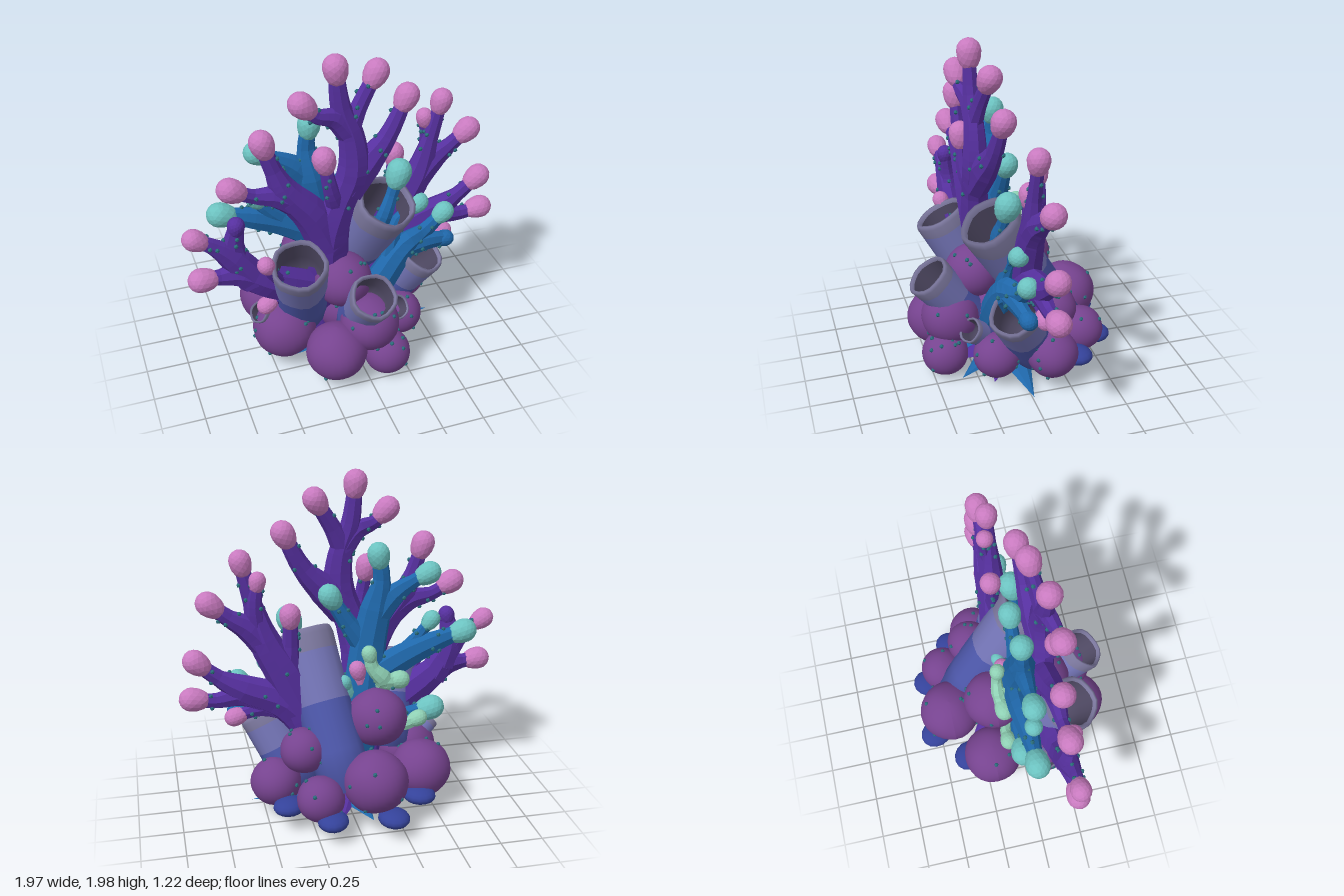
import * as THREE from 'three';

const mat = (color, flatShading = false, side = THREE.FrontSide) =>
  new THREE.MeshStandardMaterial({ color, flatShading, side });
const M = {
  purple: mat(0x56309f, true), blue: mat(0x1f68ab, true),
  pink: mat(0xc87abf, true), teal: mat(0x6cc2c0, true), mint: mat(0x8fd0b4, true),
  ball: mat(0x76438f), dot: mat(0x2a6c7a, true), stub: mat(0x34429a),
  rim: mat(0x7a769c, false, THREE.DoubleSide), mid: mat(0x7273b4, false, THREE.DoubleSide),
  low: mat(0x4c56a8, false, THREE.DoubleSide), inside: mat(0x4e4862, false, THREE.DoubleSide),
};
const V = (x, y, z) => new THREE.Vector3(x, y, z);
const UP = V(0, 1, 0);

let seed = 7;
const rnd = () => (seed = (seed * 16807) % 2147483647) / 2147483647;

function add(parent, name, geo, material) {
  const m = new THREE.Mesh(geo, material);
  m.name = name;
  parent.add(m);
  return m;
}

// Small beads that speckle the branches and the balls
const beadGeo = new THREE.IcosahedronGeometry(0.014, 0);
const bead = (parent, p) => add(parent, 'bead', beadGeo, M.dot).position.copy(p);

// Teardrop tip: a ball whose lower half is drawn out along the branch
const tipGeo = new THREE.IcosahedronGeometry(1, 2);
const tipPos = tipGeo.attributes.position;
for (let i = 0; i < tipPos.count; i++) {
  const y = tipPos.getY(i);
  tipPos.setY(i, y < 0 ? y * 1.6 : y * 1.05);
}

// Tapered branch through [x, y, z, radius] points, with a swollen tip
function branch(parent, name, pts, material, tipMat, tipR = 0.07, beads = 6) {
  const curve = new THREE.CatmullRomCurve3(pts.map(p => V(p[0], p[1], p[2])));
  const rings = (pts.length - 1) * 4, sides = 8, pos = [], idx = [];
  const frame = t => {
    const f = t * (pts.length - 1), i = Math.min(Math.floor(f), pts.length - 2);
    const dir = curve.getTangent(t), u = dir.clone().cross(V(0, 0, 1)).normalize();
    return { p: curve.getPoint(t), dir, u, v: u.clone().cross(dir),
      r: THREE.MathUtils.lerp(pts[i][3], pts[i + 1][3], f - i) };
  };
  const around = (f, a) => f.p.clone().addScaledVector(f.u, Math.cos(a) * f.r)
    .addScaledVector(f.v, Math.sin(a) * f.r * 0.8);
  for (let i = 0; i <= rings; i++) {
    const f = frame(i / rings);
    for (let j = 0; j < sides; j++) {
      pos.push(...around(f, (j / sides) * Math.PI * 2).toArray());
      if (i === rings) continue;
      const a = i * sides + j, b = i * sides + (j + 1) % sides;
      idx.push(a, a + sides, b, b, a + sides, b + sides);
    }
  }
  const g = new THREE.BufferGeometry();
  g.setAttribute('position', new THREE.Float32BufferAttribute(pos, 3));
  g.setIndex(idx);
  g.computeVertexNormals();
  add(parent, name, g, material);
  const end = frame(1), tip = add(parent, name + 'Tip', tipGeo, tipMat);
  tip.scale.setScalar(tipR);
  tip.position.copy(end.p);
  tip.quaternion.setFromUnitVectors(UP, end.dir);
  for (let k = 0; k < beads; k++) bead(parent, around(frame(0.25 + rnd() * 0.65), rnd() * 6.28));
}

// Open sponge tube from base to rim, in colour bands, with a hollow mouth
function sponge(parent, base, rim, r) {
  const a = V(...base), d = V(...rim).sub(a), h = d.length();
  const g = new THREE.Group();
  g.name = 'spongeTube';
  g.position.copy(a);
  g.quaternion.setFromUnitVectors(UP, d.normalize());
  const band = (name, prof, m) => {
    const geo = new THREE.LatheGeometry(prof.map(p => new THREE.Vector2(p[0] * r, p[1] * h)), 18);
    const q = geo.attributes.position;
    for (let i = 0; i < q.count; i++) {
      const w = 1 + 0.03 * Math.sin(5 * Math.atan2(q.getZ(i), q.getX(i)));
      q.setXYZ(i, q.getX(i) * w, q.getY(i), q.getZ(i) * w);
    }
    add(g, name, geo, m);
  };
  band('tubeBase', [[0, 0], [0.88, 0], [0.93, 0.25], [0.95, 0.55]], M.low);
  band('tubeWall', [[0.95, 0.55], [0.97, 0.68], [1, 0.86]], M.mid);
  band('tubeRim', [[1, 0.86], [1.02, 0.96], [0.97, 1], [0.88, 1], [0.84, 0.96]], M.rim);
  band('tubeMouth', [[0.84, 0.96], [0.78, 0.75], [0.7, 0.5], [0, 0.46]], M.inside);
  parent.add(g);
}

// Slightly lumpy ball
function ball(parent, x, y, z, r) {
  const geo = new THREE.SphereGeometry(r, 28, 20), q = geo.attributes.position, p = V(0, 0, 0);
  for (let i = 0; i < q.count; i++) {
    p.fromBufferAttribute(q, i);
    p.multiplyScalar(1 + 0.02 * Math.sin(p.x * 22 + x * 9) * Math.cos(p.y * 20) * Math.sin(p.z * 21 + 1));
    q.setXYZ(i, p.x, p.y, p.z);
  }
  geo.computeVertexNormals();
  const m = add(parent, 'ball', geo, M.ball);
  m.position.set(x, y, z);
  m.scale.y = 0.95;
  for (let k = 0; k < 9; k++) {
    const d = V(rnd() - 0.5, rnd() - 0.4, rnd() - 0.5).normalize();
    bead(parent, m.position.clone().addScaledVector(d, r * 0.98));
  }
}

export function createModel() {
  const root = new THREE.Group();
  root.name = 'coralReef';
  const part = name => { const g = new THREE.Group(); g.name = name; root.add(g); return g; };

  // Large purple fan
  const A = part('largeFan');
  const a = (pts, tip = M.pink, r) => branch(A, 'purpleBranch', pts, M.purple, tip, r);
  a([[-0.03, 0.05, 0, 0.17], [-0.12, 0.5, 0.08, 0.14], [-0.14, 0.85, 0.14, 0.125], [-0.08, 1.08, 0.17, 0.095],
    [-0.01, 1.28, 0.18, 0.095], [-0.02, 1.5, 0.18, 0.075], [-0.08, 1.68, 0.18, 0.058], [-0.11, 1.92, 0.18, 0.042]]);
  a([[-0.03, 1.52, 0.18, 0.07], [-0.12, 1.63, 0.19, 0.06], [-0.23, 1.67, 0.21, 0.042], [-0.31, 1.75, 0.21, 0.042]]);
  a([[-0.04, 1.52, 0.18, 0.07], [0.03, 1.66, 0.16, 0.052], [0.14, 1.84, 0.13, 0.042]]);
  a([[-0.04, 1.15, 0.17, 0.1], [0.08, 1.29, 0.15, 0.095], [0.21, 1.43, 0.13, 0.06], [0.33, 1.66, 0.11, 0.042]]);
  a([[-0.14, 0.8, 0.14, 0.12], [-0.25, 1.03, 0.16, 0.105], [-0.4, 1.22, 0.17, 0.08], [-0.46, 1.36, 0.17, 0.05],
    [-0.52, 1.54, 0.17, 0.042]]);
  a([[-0.28, 1.08, 0.16, 0.09], [-0.44, 1.19, 0.17, 0.07], [-0.58, 1.22, 0.17, 0.045], [-0.71, 1.29, 0.18, 0.042]]);
  a([[-0.09, 1.05, 0.17, 0.07], [-0.15, 1.2, 0.22, 0.045], [-0.19, 1.41, 0.22, 0.035]], M.pink, 0.067);
  a([[-0.05, 0.35, 0.05, 0.13], [-0.28, 0.5, 0.12, 0.12], [-0.52, 0.64, 0.17, 0.11], [-0.68, 0.74, 0.19, 0.085],
    [-0.8, 0.75, 0.2, 0.05], [-0.91, 0.76, 0.21, 0.042]]);
  a([[-0.6, 0.68, 0.18, 0.1], [-0.72, 0.86, 0.19, 0.08], [-0.82, 0.96, 0.2, 0.05], [-0.93, 1.03, 0.2, 0.037]], M.pink, 0.062);
  a([[-0.66, 0.75, 0.18, 0.09], [-0.71, 0.9, 0.18, 0.07], [-0.69, 1.07, 0.2, 0.045]], M.purple, 0.05);
  a([[-0.4, 0.55, 0.14, 0.06], [-0.48, 0.68, 0.22, 0.04], [-0.55, 0.82, 0.27, 0.03]], M.pink, 0.05);
  a([[-0.35, 0.5, 0.14, 0.06], [-0.47, 0.5, 0.17, 0.04], [-0.54, 0.47, 0.18, 0.03]], M.pink, 0.052);

  // Smaller purple fan on the left side
  const B = part('smallFan');
  const b = (pts, r) => branch(B, 'purpleBranch', pts, M.purple, M.pink, r);
  b([[0.05, 0.1, 0, 0.14], [0.2, 0.5, -0.03, 0.13], [0.36, 0.86, -0.02, 0.11], [0.47, 1.07, -0.01, 0.09],
    [0.53, 1.3, 0, 0.052], [0.59, 1.54, 0, 0.04]], 0.064);
  b([[0.5, 1.1, -0.01, 0.06], [0.52, 1.28, -0.03, 0.045], [0.5, 1.43, -0.03, 0.035]], 0.05);
  b([[0.42, 0.98, -0.01, 0.09], [0.55, 1.14, -0.01, 0.078], [0.67, 1.22, -0.02, 0.05], [0.78, 1.31, -0.02, 0.042]]);
  b([[0.34, 0.82, -0.02, 0.08], [0.32, 1.03, -0.03, 0.05], [0.32, 1.22, -0.04, 0.04]], 0.062);
  b([[0.15, 0.4, -0.02, 0.12], [0.36, 0.67, -0.02, 0.11], [0.6, 0.78, -0.02, 0.088], [0.74, 0.86, -0.02, 0.05],
    [0.87, 0.97, -0.02, 0.042]]);
  b([[0.42, 0.68, -0.02, 0.09], [0.6, 0.74, -0.02, 0.07], [0.76, 0.72, -0.02, 0.048], [0.9, 0.74, -0.02, 0.042]]);
  b([[0.3, 0.6, -0.03, 0.06], [0.5, 0.65, -0.03, 0.05], [0.66, 0.61, -0.03, 0.035]], 0.055);

  // Blue coral with teal tips
  const C = part('blueCoral');
  const c = (pts, tip = M.teal, r = 0.066) => branch(C, 'blueBranch', pts, M.blue, tip, r);
  c([[0, 0.1, -0.02, 0.14], [-0.1, 0.55, -0.02, 0.13], [-0.15, 0.95, 0.02, 0.11], [-0.2, 1.2, 0.03, 0.095],
    [-0.23, 1.38, 0.02, 0.052], [-0.21, 1.53, 0.02, 0.045]]);
  c([[-0.16, 1.08, 0.02, 0.08], [-0.3, 1.27, 0.02, 0.07], [-0.42, 1.35, 0.02, 0.045], [-0.52, 1.4, 0.02, 0.04]]);
  c([[-0.15, 0.95, 0.02, 0.08], [-0.03, 1.12, 0.02, 0.055], [0.08, 1.3, 0.02, 0.04]]);
  c([[-0.12, 0.75, 0, 0.1], [-0.35, 0.89, -0.01, 0.09], [-0.55, 0.97, 0, 0.07], [-0.74, 1.03, 0, 0.042]], M.teal, 0.072);
  c([[-0.35, 0.9, 0, 0.06], [-0.47, 1.02, 0.02, 0.04], [-0.54, 1.11, 0.02, 0.035]], M.teal, 0.052);
  c([[-0.1, 0.4, 0, 0.08], [-0.35, 0.5, -0.02, 0.065], [-0.54, 0.56, -0.03, 0.05]], M.teal, 0.075);
  c([[0, 0.15, 0.1, 0.12], [0.2, 0.45, 0.12, 0.1], [0.35, 0.64, 0.1, 0.085], [0.5, 0.7, 0.06, 0.055], [0.62, 0.81, 0.06, 0.04]], M.teal, 0.06);
  c([[0.32, 0.62, 0.1, 0.075], [0.5, 0.63, 0.08, 0.06], [0.64, 0.61, 0.06, 0.048]], M.blue, 0.052);
  c([[0.25, 0.6, 0.1, 0.06], [0.32, 0.82, 0.07, 0.045], [0.45, 0.91, 0.06, 0.035]], M.teal, 0.058);
  c([[0.12, 0.6, 0.05, 0.06], [0.21, 0.9, 0.12, 0.05], [0.26, 1.02, 0.1, 0.04], [0.31, 1.16, 0.08, 0.045]], M.teal, 0.075);

  // Pale sprigs and small buds at the back
  const sprig = (tip, r, ...pts) => branch(C, 'sprig', pts, tip, tip, r, 1);
  sprig(M.mint, 0.045, [-0.22, 0.72, -0.05, 0.05], [-0.22, 0.8, -0.11, 0.055], [-0.15, 0.88, -0.11, 0.04], [-0.13, 0.97, -0.1, 0.035]);
  sprig(M.mint, 0.055, [-0.18, 0.82, -0.08, 0.045], [-0.24, 0.79, -0.11, 0.05], [-0.32, 0.79, -0.1, 0.045]);
  sprig(M.mint, 0.05, [-0.25, 0.48, -0.05, 0.04], [-0.36, 0.5, -0.1, 0.045], [-0.44, 0.53, -0.1, 0.04]);
  sprig(M.pink, 0.05, [-0.1, 0.7, -0.02, 0.04], [-0.09, 0.78, -0.06, 0.035], [-0.07, 0.86, -0.06, 0.035]);
  sprig(M.teal, 0.04, [-0.06, 0.65, -0.03, 0.04], [-0.02, 0.72, -0.06, 0.035], [0.01, 0.79, -0.07, 0.03]);

  // Sponge tubes
  const T = part('spongeTubes');
  sponge(T, [-0.28, 0.28, 0.05], [-0.37, 0.82, 0.32], 0.16);
  sponge(T, [0.04, 0.2, -0.32], [0.21, 1.03, 0.17], 0.175);
  sponge(T, [0, 0.22, 0.17], [0.02, 0.625, 0.49], 0.135);
  sponge(T, [0.28, 0.15, -0.1], [0.475, 0.57, 0.1], 0.145);
  sponge(T, [0.16, 0.2, 0.12], [0.25, 0.35, 0.3], 0.075);
  sponge(T, [-0.4, 0.25, 0.05], [-0.58, 0.4, 0.14], 0.065);

  // Cluster of balls
  const D = part('ballCluster');
  [[-0.43, 0.25, -0.2, 0.18], [-0.42, 0.25, 0.13, 0.19], [-0.18, 0.21, 0.4, 0.18], [0.13, 0.14, 0.42, 0.14],
    [0.04, 0.34, 0.36, 0.175], [0.31, 0.19, 0.15, 0.14], [0.44, 0.23, -0.15, 0.15], [-0.07, 0.56, 0.19, 0.17],
    [-0.17, 0.58, -0.14, 0.18], [0.28, 0.44, -0.2, 0.14], [-0.1, 0.3, -0.41, 0.19], [0.22, 0.22, -0.4, 0.14],
    [0, 0.28, 0.05, 0.2]].forEach(p => ball(D, ...p));

  // Blue stubs poking out low around the back
  const S = part('blueStubs');
  [[-0.18, 0.12, -0.53], [0.17, 0.13, -0.51], [0.39, 0.15, -0.32], [-0.38, 0.15, -0.35]].forEach(([x, y, z]) => {
    const m = add(S, 'stub', new THREE.SphereGeometry(1, 14, 10), M.stub);
    m.position.set(x, y, z);
    m.scale.set(0.09, 0.05, 0.1);
    m.rotation.y = Math.atan2(x, z);
  });

  // Broad spiky roots spreading on the ground
  const R = part('roots');
  const lengths = [0.57, 0.42, 0.43, 0.38, 0.42, 0.38, 0.43, 0.43, 0.4, 0.42, 0.4, 0.4, 0.45, 0.42];
  lengths.forEach((len, i) => {
    const g = new THREE.ConeGeometry(0.14, len, 6).translate(0, len / 2, 0).rotateZ(-Math.PI / 2)
      .scale(1, 0.45, 1).rotateZ(-0.05);
    const m = add(R, 'root', g, i % 2 ? M.purple : M.blue);
    m.position.y = 0.065;
    m.rotation.y = (i / lengths.length) * Math.PI * 2;
  });
  return root;
}
